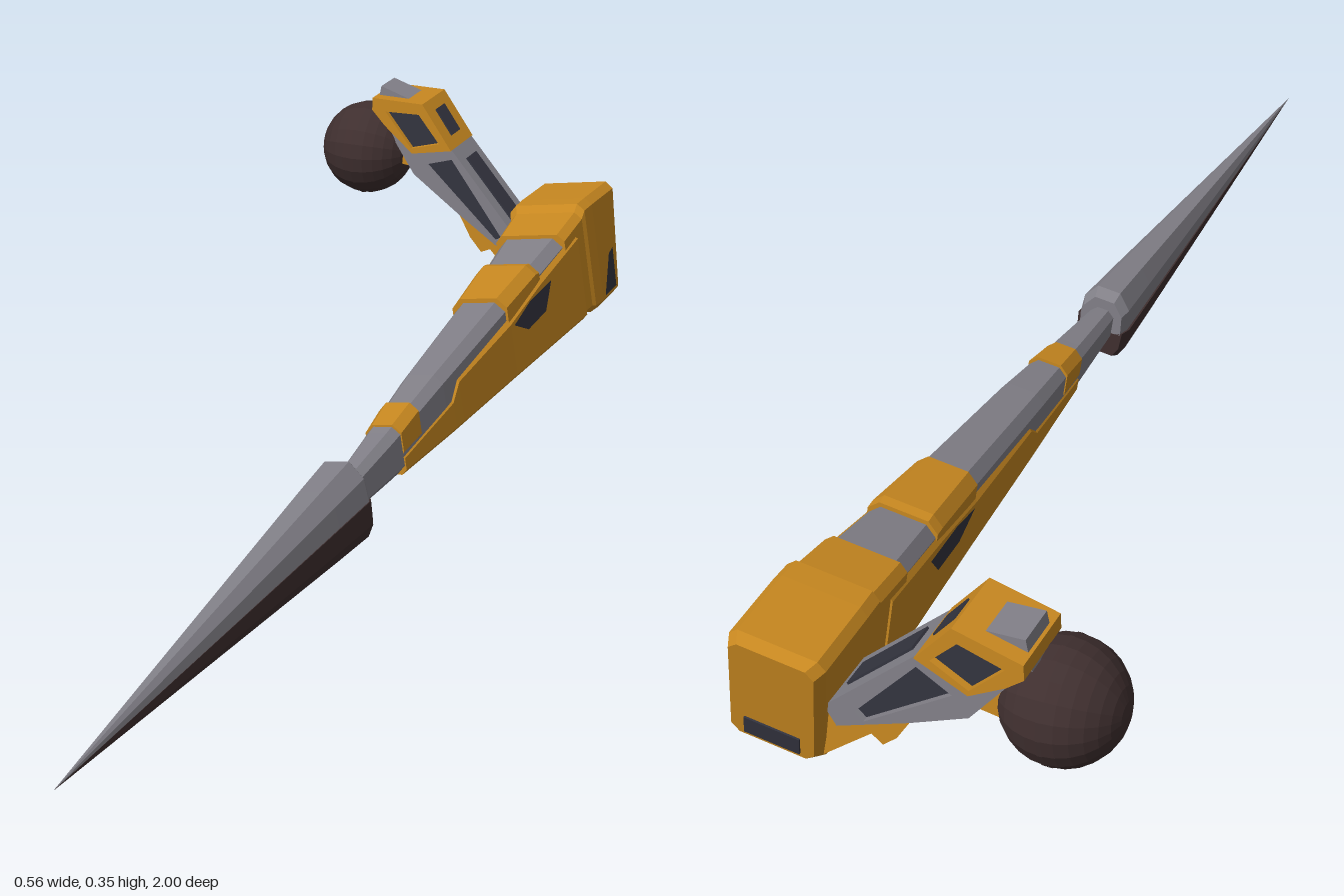
import * as THREE from 'three';

const mat = (name, color) => {
  const m = new THREE.MeshStandardMaterial({ color, flatShading: true, side: THREE.DoubleSide });
  m.name = name;
  return m;
};

export function createModel() {
  const orange = mat('orange paint', 0xc88820);
  const grey = mat('grey metal', 0x828088);
  const brown = mat('dark brown', 0x3f2f2f);
  const slate = mat('slate panel', 0x33343f);

  const model = new THREE.Group();
  const add = (parent, name, geo, material) => {
    const mesh = new THREE.Mesh(geo, material);
    mesh.name = name;
    parent.add(mesh);
    return mesh;
  };
  const V2 = (pts) => pts.map(([x, y]) => new THREE.Vector2(x, y));

  // Skin closed cross-sections (counter-clockwise, z increasing) and cap both ends
  function loft(rings) {
    const pos = [];
    const tri = (...p) => p.forEach((q) => pos.push(...q));
    const n = rings[0].length;
    for (let i = 0; i < rings.length - 1; i++) {
      for (let j = 0; j < n; j++) {
        const k = (j + 1) % n;
        const [a, b, c, d] = [rings[i][j], rings[i][k], rings[i + 1][k], rings[i + 1][j]];
        tri(a, b, c);
        tri(a, c, d);
      }
    }
    const first = rings[0], last = rings[rings.length - 1];
    for (let j = 1; j < n - 1; j++) {
      tri(first[0], first[j + 1], first[j]);
      tri(last[0], last[j], last[j + 1]);
    }
    const geo = new THREE.BufferGeometry();
    geo.setAttribute('position', new THREE.Float32BufferAttribute(pos, 3));
    geo.computeVertexNormals();
    return geo;
  }

  // Chamfered rectangle; lean tilts the section along z with height
  const section = ([z, w, lo, hi, c = 0.008, lean = 0]) => [
    [-w + c, lo], [w - c, lo], [w, lo + c], [w, hi - c],
    [w - c, hi], [-w + c, hi], [-w, hi - c], [-w, lo + c],
  ].map(([x, y]) => [x, y, z + lean * y]);
  const beam = (rows) => loft(rows.map(section));

  // ---------- Forearm, rolled about its long axis ----------
  const forearm = new THREE.Group();
  forearm.name = 'forearm';
  forearm.position.set(0.215, 0.032, 0);
  forearm.rotation.z = 0.172;
  model.add(forearm);

  add(forearm, 'forearmCore', beam([
    [-0.72, 0.058, 0.01, 0.163, 0.016], [-0.57, 0.05, 0.01, 0.142, 0.016],
    [-0.44, 0.043, 0.01, 0.13, 0.016], [-0.18, 0.035, 0.008, 0.101, 0.014],
    [0, 0.026, 0.004, 0.075, 0.012], [0.16, 0.018, 0.005, 0.056, 0.01],
  ]), grey);
  add(forearm, 'forearmShell', beam([
    [-0.74, 0.066, 0, 0.15], [-0.57, 0.057, 0, 0.125], [-0.44, 0.05, 0, 0.1],
    [-0.23, 0.04, 0, 0.08], [-0.2, 0.0385, 0, 0.056], [-0.02, 0.029, 0.002, 0.036],
  ]), orange);
  add(forearm, 'elbowBlock', beam([
    [-0.918, 0.06, 0.002, 0.178, 0.012, -0.18], [-0.9, 0.068, -0.006, 0.186, 0.012, -0.18],
    [-0.82, 0.068, -0.006, 0.19, 0.012], [-0.785, 0.067, -0.003, 0.19, 0.012],
    [-0.775, 0.064, 0, 0.178, 0.012], [-0.69, 0.061, 0.002, 0.165, 0.012],
  ]), orange);
  add(forearm, 'rearBand', beam([
    [-0.58, 0.053, 0.1, 0.15, 0.016], [-0.565, 0.053, 0.1, 0.152, 0.016],
    [-0.44, 0.047, 0.08, 0.137, 0.016],
  ]), orange);
  add(forearm, 'frontBand', beam([
    [-0.085, 0.032, 0.03, 0.092, 0.013], [-0.02, 0.029, 0.025, 0.081, 0.013],
  ]), orange);

  // Thin dark insets that follow the tapering sides
  function sidePlate(name, points, width) {
    for (const s of [1, -1]) {
      const geo = new THREE.ShapeGeometry(new THREE.Shape(V2(points)));
      const p = geo.attributes.position;
      for (let i = 0; i < p.count; i++) {
        const z = p.getX(i), y = p.getY(i);
        p.setXYZ(i, s * width(z), y, z);
      }
      geo.computeVertexNormals();
      add(forearm, name, geo, slate);
    }
  }
  sidePlate('sideVent', [[-0.45, 0.088], [-0.5, 0.064], [-0.575, 0.07], [-0.61, 0.112], [-0.52, 0.106]],
    (z) => 0.0515 - 0.054 * (z + 0.44));
  sidePlate('elbowNotch', [[-0.83, 0.012], [-0.888, 0.012], [-0.892, 0.08], [-0.87, 0.075]], () => 0.0695);
  const slot = add(forearm, 'rearSlot', new THREE.BoxGeometry(0.08, 0.03, 0.006), slate);
  slot.position.set(0, 0.024, -0.922);
  slot.rotation.x = -0.18;

  // ---------- Spike: grey upper half over a dark keel ----------
  const tip = [-0.002, 0.011];
  const spikeHalf = (pts) => loft([[0.13, 0.85], [0.145, 1], [0.24, 0.9], [1, 0.003]].map(([z, k]) =>
    pts.map(([x, y]) => [tip[0] + (x - tip[0]) * k, tip[1] + (y - tip[1]) * k, z])));
  add(forearm, 'spikeTop', spikeHalf([
    [-0.041, 0.022], [0.041, 0.022], [0.038, 0.062], [0.019, 0.088], [-0.019, 0.088], [-0.038, 0.062],
  ]), grey);
  add(forearm, 'spikeKeel', spikeHalf([
    [-0.032, -0.027], [0.032, -0.027], [0.042, -0.008], [0.044, 0.028], [0, 0.012], [-0.044, 0.028], [-0.042, -0.008],
  ]), brown);

  // ---------- Upper arm: plates drawn from the front, swept back toward the shoulder ----------
  const upperArm = new THREE.Group();
  upperArm.name = 'upperArm';
  model.add(upperArm);
  function armPart(name, points, half, material, hole) {
    const shape = new THREE.Shape(V2(points));
    if (hole) shape.holes.push(new THREE.Path(V2(hole)));
    const geo = new THREE.ExtrudeGeometry(shape, { depth: half * 2, bevelEnabled: false });
    const p = geo.attributes.position;
    for (let i = 0; i < p.count; i++) p.setZ(i, p.getZ(i) - half - 0.896 + 0.23 * p.getX(i));
    geo.computeVertexNormals();
    return add(upperArm, name, geo, material);
  }
  const upperWindow = [[-0.154, 0.316], [-0.085, 0.323], [-0.042, 0.278], [-0.099, 0.259]];
  const lowerWindow = [[-0.07, 0.234], [-0.017, 0.253], [0.088, 0.132], [0.074, 0.123]];

  armPart('shoulderFrame', [[-0.182, 0.336], [-0.078, 0.343], [-0.017, 0.27], [-0.097, 0.25],
    [-0.155, 0.29], [-0.182, 0.314]], 0.053, orange, upperWindow);
  armPart('armBody', [[-0.16, 0.295], [-0.097, 0.251], [-0.018, 0.271], [0.138, 0.118], [0.119, 0.094],
    [0, 0.157], [-0.094, 0.211]], 0.048, grey, lowerWindow);
  armPart('upperWindowPanel', [[-0.162, 0.322], [-0.083, 0.329], [-0.035, 0.277], [-0.1, 0.254]], 0.043, slate);
  armPart('lowerWindowPanel', [[-0.076, 0.234], [-0.016, 0.258], [0.094, 0.134], [0.074, 0.118]], 0.039, slate);
  armPart('shoulderCap', [[-0.182, 0.31], [-0.174, 0.353], [-0.1, 0.337], [-0.1, 0.3]], 0.03, grey);
  armPart('elbowLink', [[0, 0.156], [0.024, 0.118], [0.047, 0.096], [0.065, 0.105], [0.15, 0.028],
    [0.21, 0.045], [0.2, 0.13], [0.137, 0.122], [0.117, 0.096]], 0.044, orange);
  armPart('shoulderBracket', [[-0.15, 0.222], [-0.105, 0.22], [-0.09, 0.25], [-0.15, 0.29]], 0.035, orange);
  armPart('armSlot', [[0, 0.25], [0.11, 0.142], [0.114, 0.146], [0.004, 0.254]], 0.022, slate);
  armPart('frameSlot', [[-0.067, 0.326], [-0.033, 0.285], [-0.029, 0.288], [-0.063, 0.329]], 0.02, slate);

  // ---------- Shoulder ball with a raised seam ----------
  const ball = new THREE.Group();
  ball.name = 'shoulderBall';
  ball.position.set(-0.2, 0.235, -0.918);
  ball.rotation.z = Math.PI / 2;
  model.add(ball);
  add(ball, 'ballJoint', new THREE.SphereGeometry(0.082, 20, 14), brown);
  add(ball, 'ballSeam', new THREE.CylinderGeometry(0.0825, 0.0825, 0.006, 20, 1, true), brown);

  return model;
}
